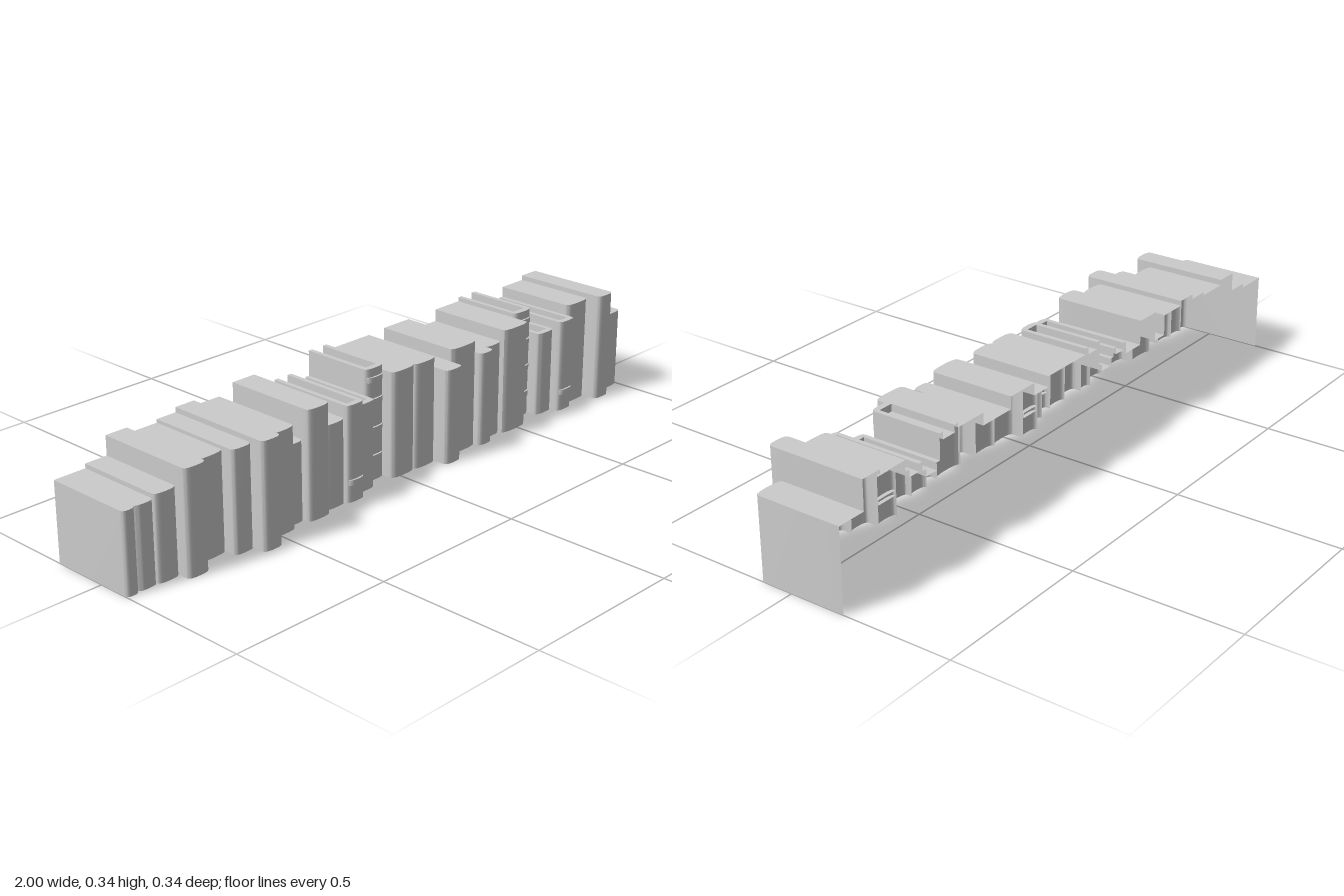
import * as THREE from 'three';
import { toCreasedNormals } from 'three/addons/utils/BufferGeometryUtils.js';

const BACK = -0.17;
const BULGE = 0.013;

// right edge x, height, spine front z, ornate style
const BOOKS = [
  [-0.96, 0.235, 0.102], [-0.9, 0.235, 0.1], [-0.83, 0.248, 0.105], [-0.76, 0.305, 0.14],
  [-0.66, 0.288, 0.092], [-0.595, 0.298, 0.128], [-0.53, 0.313, 0.169], [-0.44, 0.298, 0.125],
  [-0.39, 0.235, 0.103], [-0.31, 0.325, 0.125], [-0.235, 0.25, 0.107],
  [-0.17, 0.288, 0.117, 'panel'], [-0.1, 0.262, 0.09, 'plain'], [-0.03, 0.338, 0.057, 'banded'],
  [0.06, 0.32, 0.093], [0.145, 0.32, 0.095], [0.21, 0.288, 0.138], [0.315, 0.325, 0.1],
  [0.37, 0.288, 0.118], [0.435, 0.288, 0.092], [0.54, 0.325, 0.107],
  [0.615, 0.338, 0.057, 'banded'], [0.685, 0.262, 0.09, 'plain'], [0.75, 0.288, 0.117, 'panel'],
  [0.845, 0.32, 0.093], [0.91, 0.335, 0.139], [1, 0.247, 0.105],
];

const material = new THREE.MeshStandardMaterial({ color: 0xcccccc, side: THREE.DoubleSide });

// upright strip following a plan path of [x, z] points
function ribbon(path, y0, y1) {
  const pos = [], index = [];
  path.forEach(([x, z], i) => {
    pos.push(x, y0, z, x, y1, z);
    if (i) {
      const a = 2 * i - 2;
      index.push(a, a + 2, a + 3, a, a + 3, a + 1);
    }
  });
  const g = new THREE.BufferGeometry();
  g.setAttribute('position', new THREE.Float32BufferAttribute(pos, 3));
  g.setIndex(index);
  return toCreasedNormals(g, 0.7);
}

// level face filling a plan path
function cap(path, y) {
  const g = new THREE.ShapeGeometry(new THREE.Shape(path.map(([x, z]) => new THREE.Vector2(x, -z))));
  return g.rotateX(-Math.PI / 2).translate(0, y, 0);
}

// softly squared spine curve from left to right
function spineCurve(x0, x1, edge, bulge = BULGE) {
  const pts = [], n = 10;
  for (let i = 0; i <= n; i++) {
    const a = Math.PI * (1 - i / n), c = Math.cos(a);
    pts.push([(x0 + x1) / 2 + (x1 - x0) / 2 * Math.sign(c) * Math.abs(c) ** 0.75,
      edge + bulge * Math.max(0, Math.sin(a)) ** 0.75]);
  }
  return pts;
}

export function createModel() {
  const row = new THREE.Group();
  row.name = 'bookRow';
  const outside = { h: 0, edge: BACK };
  const books = BOOKS.map(([x1, h, front, style], i) => (
    { x0: i ? BOOKS[i - 1][0] : -1, x1, h, edge: front - BULGE, style }));

  books.forEach((b, i) => {
    const { x0, x1, h, edge, style } = b;
    const book = new THREE.Group();
    book.name = `book${i + 1}`;
    row.add(book);
    const add = (name, geometry) => {
      const m = new THREE.Mesh(geometry, material);
      m.name = name;
      book.add(m);
    };
    const left = books[i - 1] || outside, right = books[i + 1] || outside;
    const curve = spineCurve(x0, x1, edge);

    // spine, carried back along the sides to any shallower neighbour
    const path = [...curve];
    if (left.edge < edge) path.unshift([x0, left.edge]);
    if (right.edge < edge) path.push([x1, right.edge]);
    add('spine', ribbon(path, 0, h));

    // side strips standing above lower neighbours
    if (left.h < h) add('leftSide', ribbon([[x0, BACK], [x0, Math.min(edge, left.edge)]], left.h, h));
    if (right.h < h) add('rightSide', ribbon([[x1, Math.min(edge, right.edge)], [x1, BACK]], right.h, h));

    if (!style) {
      add('top', cap([[x0, BACK], ...curve, [x1, BACK]], h));
      return;
    }

    // hard cover with sunken page block
    const t = 0.014, drop = 0.022;
    const inner = [[x0 + t, BACK], [x0 + t, edge - 0.006], [x1 - t, edge - 0.006], [x1 - t, BACK]];
    add('coverRim', cap([[x0, BACK], ...curve, [x1, BACK], ...[...inner].reverse()], h));
    add('coverInside', ribbon(inner, h - drop, h));
    add('pages', cap(inner, h - drop));

    // raised spine bands
    const bands = { banded: [0.07, 0.155, 0.24, 0.305], panel: [0.06], plain: [] }[style];
    for (const y of bands) {
      const bandPath = spineCurve(x0 + 0.003, x1 - 0.003, edge, BULGE + 0.006);
      add('spineBand', ribbon(bandPath, y - 0.008, y + 0.008));
      for (const s of [-1, 1]) add('bandEdge', cap(bandPath, y + s * 0.008));
    }
  });
  return row;
}
